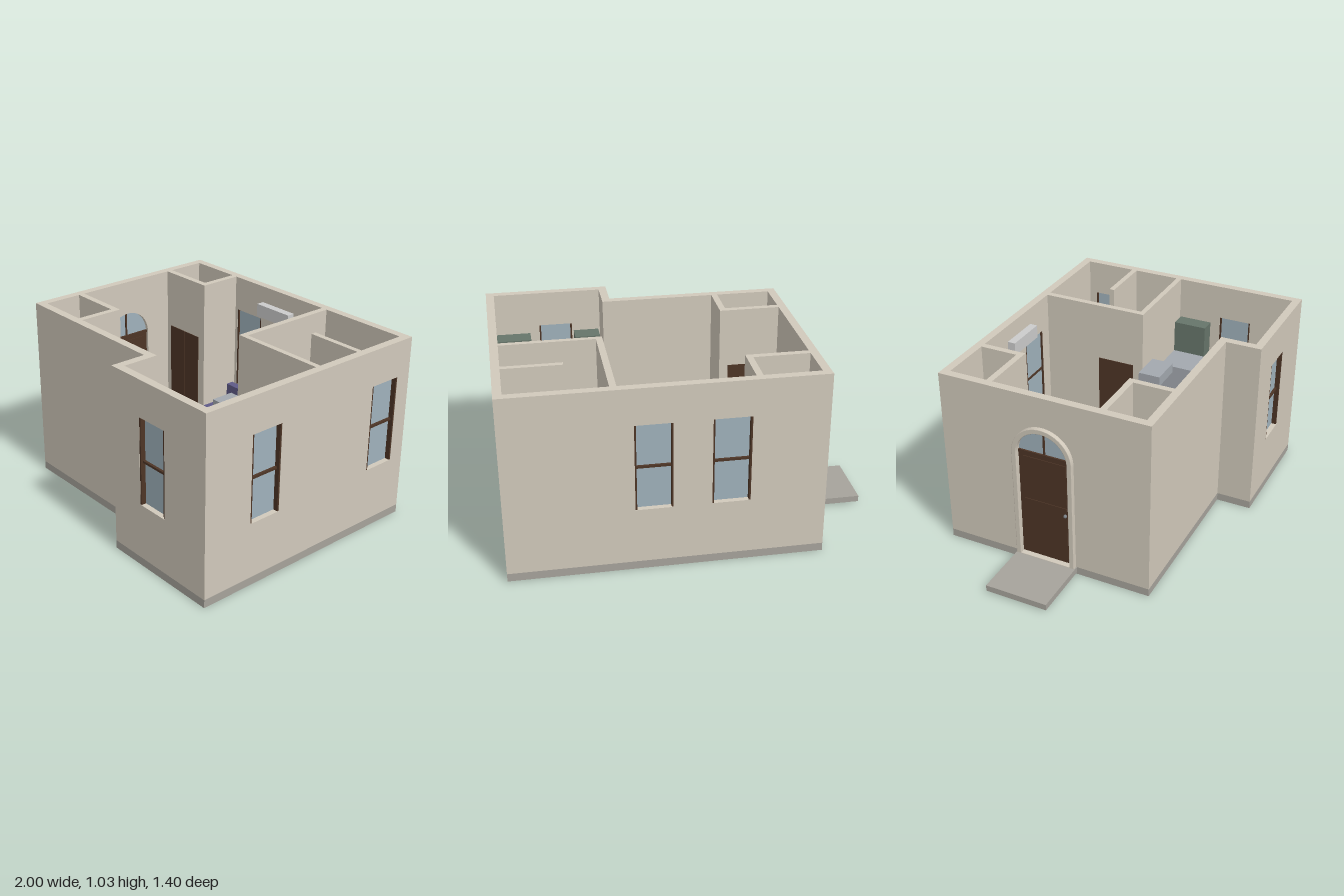
import * as THREE from 'three';

const H = 1.035, BASE = 0.045, T = 0.045;
const mat = (color, side = THREE.FrontSide) => new THREE.MeshStandardMaterial({ color, side });
const M = {
  wall: mat(0xd1c9bb), base: mat(0xa6a39b), wood: mat(0x4d3526), floor: mat(0xb08d62),
  tile: mat(0xb9b8b6), glass: mat(0x9fb1bb), sofa: mat(0x5f5a87), green: mat(0x66756a),
  steel: mat(0xa3a8ae), white: mat(0xcccccc), metal: mat(0x7c8288),
};

export function createModel() {
  const model = new THREE.Group();
  model.name = 'smallHouse';

  const add = (name, geo, material, x = 0, y = 0, z = 0, parent = model) => {
    const m = new THREE.Mesh(geo, material);
    m.name = name;
    m.position.set(x, y, z);
    parent.add(m);
    return m;
  };
  // box given by its limits on each axis
  const box = (name, material, x0, x1, y0, y1, z0, z1, parent = model) =>
    add(name, new THREE.BoxGeometry(x1 - x0, y1 - y0, z1 - z0), material,
      (x0 + x1) / 2, (y0 + y1) / 2, (z0 + z1) / 2, parent);
  const cyl = (name, material, r0, r1, h, x, y, z, parent = model) =>
    add(name, new THREE.CylinderGeometry(r0, r1, h, 32), material, x, y, z, parent);
  const extrude = (shape, depth) =>
    new THREE.ExtrudeGeometry(shape, { depth, bevelEnabled: false, curveSegments: 20 });
  const rect = (a, b, y0, y1, Type = THREE.Shape) => {
    const s = new Type();
    s.moveTo(a, y0); s.lineTo(b, y0); s.lineTo(b, y1); s.lineTo(a, y1); s.closePath();
    return s;
  };
  // round-headed outline: half width r, springing at y1
  const arch = (c, r, y0, y1, Type = THREE.Shape) => {
    const s = new Type();
    s.moveTo(c - r, y0); s.lineTo(c + r, y0); s.lineTo(c + r, y1);
    s.absarc(c, y1, r, 0, Math.PI, false);
    s.closePath();
    return s;
  };

  // Foundation, floors and entrance slab
  const plan = new THREE.Shape([[-0.66, 0.7], [-0.66, -0.5], [0.305, -0.5], [0.305, -0.7], [1, -0.7], [1, 0.7]]
    .map(([x, y]) => new THREE.Vector2(x, y)));
  add('foundation', extrude(plan, BASE), M.base).rotation.x = -Math.PI / 2;
  box('entranceSlab', M.base, -1, -0.66, 0.01, BASE, -0.275, 0.08);
  box('livingFloor', M.floor, -0.615, 0.955, BASE, 0.05, -0.655, 0.455);
  box('bathroomFloor', M.tile, 0.445, 0.955, BASE, 0.056, -0.655, -0.07);

  // Outer walls; a wall along z is turned so that its local x runs along +z
  const WY0 = 0.35, WY1 = 0.835, DOOR = -0.1, SPRING = 0.69;
  const wall = (name, a, b, alongZ, pos, holes = []) => {
    const s = rect(a, b, BASE, H);
    s.holes.push(...holes);
    const m = add(name, extrude(s, T), M.wall, alongZ ? pos + T : 0, 0, alongZ ? 0 : pos);
    if (alongZ) m.rotation.y = -Math.PI / 2;
  };
  const windowWall = (name, a, b, alongZ, pos, outward, spans) => {
    wall(name, a, b, alongZ, pos, spans.map(([p, q]) => rect(p, q, WY0, WY1, THREE.Path)));
    for (const [p, q] of spans) {
      const g = new THREE.Group();
      g.name = 'window';
      const c = (p + q) / 2, h = (q - p) / 2, my = (WY0 + WY1) / 2;
      box('glass', M.glass, -h, h, WY0, WY1, -0.012, -0.006, g);
      for (const s of [-1, 1])
        box('jamb', M.wood, s * h - 0.005 - s * 0.004, s * h + 0.005 - s * 0.004, WY0, WY1, -0.021, 0.021, g);
      box('middleBar', M.wood, -h, h, my - 0.006, my + 0.006, -0.018, 0.008, g);
      box('sill', M.wall, -h, h, WY0 - 0.003, WY0 + 0.005, -0.021, 0.0235, g);
      if (alongZ) g.position.set(pos + T / 2, 0, c);
      else g.position.set(c, 0, pos + T / 2);
      g.rotation.y = alongZ ? outward * Math.PI / 2 : (outward > 0 ? 0 : Math.PI);
      model.add(g);
    }
  };
  windowWall('backWall', -0.66, 1, false, -0.7, -1, [[-0.26, -0.06], [0.14, 0.335]]);
  windowWall('rightSideWall', -0.655, 0.7, true, 0.955, 1, [[-0.61, -0.42], [0.22, 0.41]]);
  windowWall('bayFrontWall', 0.305, 0.955, false, 0.655, 1, [[0.515, 0.705]]);
  wall('bayReturnWall', 0.5, 0.655, true, 0.305);
  wall('frontWall', -0.66, 0.35, false, 0.455);
  wall('entranceWall', -0.655, 0.455, true, -0.66, [arch(DOOR, 0.15, BASE + 0.001, SPRING, THREE.Path)]);

  // Arched entrance: surround, leaf, fanlight and knob
  const door = new THREE.Group();
  door.name = 'entranceDoor';
  model.add(door);
  const faceZ = (name, geo, material, x) => {
    add(name, geo, material, x, 0, 0, door).rotation.y = -Math.PI / 2;
  };
  const surround = arch(DOOR, 0.171, BASE, SPRING);
  surround.holes.push(arch(DOOR, 0.15, BASE + 0.001, SPRING, THREE.Path));
  faceZ('surround', new THREE.ExtrudeGeometry(surround, {
    depth: 0.02, bevelSize: 0.004, bevelThickness: 0.004, bevelSegments: 3, curveSegments: 24,
  }), M.wall, -0.66);
  faceZ('fanlight', extrude(arch(DOOR, 0.15, SPRING - 0.01, SPRING), 0.008), M.glass, -0.636);
  box('leaf', M.wood, -0.65, -0.63, BASE, SPRING, DOOR - 0.15, DOOR + 0.15, door);
  for (const [y0, y1] of [[0.075, 0.4], [0.425, 0.665]])
    box('panel', M.wood, -0.654, -0.626, y0, y1, DOOR - 0.125, DOOR + 0.125, door);
  box('transom', M.wood, -0.654, -0.626, SPRING - 0.008, SPRING + 0.008, DOOR - 0.15, DOOR + 0.15, door);
  box('fanlightBar', M.wood, -0.65, -0.63, SPRING, SPRING + 0.15, DOOR - 0.005, DOOR + 0.005, door);
  for (const x of [-0.663, -0.617])
    add('knob', new THREE.SphereGeometry(0.01, 16, 12), M.metal, x, 0.36, 0.02, door);

  // Inner walls
  const inner = (name, x0, x1, z0, z1) => box(name, M.wall, x0, x1, BASE, H, z0, z1);
  inner('bathroomSideWall', 0.41, 0.445, -0.655, -0.04);
  inner('bathroomFrontWall', 0.445, 0.955, -0.07, -0.04);
  inner('showerWall', 0.64, 0.955, -0.365, -0.335);
  box('bathroomDoor', M.wood, 0.406, 0.449, 0.05, 0.7, -0.32, -0.1);

  // Corner closets with double doors facing each other
  for (const [near, far, s] of [[-0.405, -0.655, 1], [0.205, 0.455, -1]]) {
    const span = (a, b) => [Math.min(a, b), Math.max(a, b)];
    inner('closetFrontWall', -0.615, -0.28, ...span(near, near - s * 0.035));
    inner('closetSideWall', -0.315, -0.28, ...span(near - s * 0.035, far));
    box('wardrobe', M.wood, -0.615, -0.315, 0.05, 0.7, ...span(near - s * 0.035, far));
    for (const x of [-0.58, -0.453])
      box('closetDoor', M.wood, x, x + 0.123, 0.055, 0.7, ...span(near, near + s * 0.004));
  }

  // Sofa
  const sofa = new THREE.Group();
  sofa.name = 'sofa';
  model.add(sofa);
  box('sofaBase', M.sofa, -0.28, 0.32, 0.06, 0.15, -0.64, -0.35, sofa);
  box('sofaBack', M.sofa, -0.28, 0.32, 0.15, 0.36, -0.64, -0.595, sofa);
  for (const x of [-0.28, 0.278]) box('sofaArm', M.sofa, x, x + 0.042, 0.15, 0.27, -0.595, -0.35, sofa);
  for (const x of [-0.236, 0.022]) box('seatCushion', M.sofa, x, x + 0.254, 0.15, 0.2, -0.594, -0.355, sofa);
  box('airConditioner', M.white, -0.05, 0.2, 0.865, 0.94, -0.656, -0.61);

  // Round table with a chair on either side
  cyl('tableTop', M.wood, 0.147, 0.147, 0.02, 0.005, 0.34, 0.35);
  cyl('tableLeg', M.wood, 0.018, 0.018, 0.28, 0.005, 0.19, 0.35);
  cyl('tableFoot', M.wood, 0.07, 0.08, 0.015, 0.005, 0.057, 0.35);
  for (const s of [-1, 1]) {
    const chair = new THREE.Group();
    chair.name = 'chair';
    chair.position.set(0.005, 0, 0.3525);
    chair.rotation.y = s > 0 ? 0 : Math.PI;
    box('chairSeat', M.wood, 0.105, 0.25, 0.2, 0.22, -0.0675, 0.0675, chair);
    box('chairBack', M.wood, 0.235, 0.25, 0.22, 0.42, -0.0675, 0.0675, chair);
    for (const x of [0.105, 0.235]) for (const z of [-0.0675, 0.0525])
      box('chairLeg', M.wood, x, x + 0.015, 0.05, 0.2, z, z + 0.015, chair);
    model.add(chair);
  }

  // Kitchen: counters, cooker, hood, refrigerator, sink and wall cabinets
  box('cookerCounter', M.white, 0.355, 0.955, 0.05, 0.34, -0.04, 0.17);
  box('hood', M.steel, 0.36, 0.55, 0.63, 0.69, -0.04, 0.09);
  for (const x of [0.405, 0.505]) for (const z of [0.02, 0.12])
    cyl('burner', M.wood, 0.035, 0.035, 0.008, x, 0.344, z);
  box('refrigerator', M.steel, 0.665, 0.865, 0.05, 0.6, -0.035, 0.175);
  box('windowCounter', M.white, 0.35, 0.955, 0.05, 0.34, 0.46, 0.655);
  box('sinkRim', M.white, 0.53, 0.75, 0.34, 0.345, 0.49, 0.62);
  box('sinkBasin', M.steel, 0.545, 0.735, 0.34, 0.347, 0.505, 0.605);
  cyl('tap', M.metal, 0.006, 0.006, 0.1, 0.645, 0.39, 0.638);
  box('tapSpout', M.metal, 0.64, 0.65, 0.43, 0.44, 0.58, 0.642);
  for (const [x0, x1, z0, z1] of [[0.36, 0.505, 0.55, 0.656], [0.76, 0.956, 0.55, 0.656], [0.865, 0.956, -0.035, 0.16]])
    box('wallCabinet', M.green, x0, x1, 0.55, 0.79, z0, z1);

  // Bathroom: vanity, shower and toilet
  box('vanity', M.white, 0.445, 0.635, 0.05, 0.32, -0.655, -0.51);
  cyl('vanityTap', M.metal, 0.005, 0.005, 0.06, 0.54, 0.35, -0.64);
  box('showerTray', M.tile, 0.665, 0.955, 0.055, 0.075, -0.655, -0.37);
  box('showerScreen', M.glass, 0.65, 0.658, 0.06, 0.75, -0.655, -0.5);
  cyl('showerHead', M.metal, 0.015, 0.03, 0.02, 0.805, 0.75, -0.585);
  box('showerArm', M.metal, 0.8, 0.81, 0.755, 0.765, -0.656, -0.58);
  cyl('drain', M.metal, 0.015, 0.015, 0.004, 0.805, 0.077, -0.51);
  cyl('toiletBowl', M.white, 0.065, 0.045, 0.15, 0.815, 0.125, -0.21);
  box('toiletNeck', M.white, 0.815, 0.9, 0.055, 0.18, -0.24, -0.18);
  box('toiletTank', M.white, 0.885, 0.94, 0.15, 0.33, -0.275, -0.145);
  box('towelRail', M.metal, 0.462, 0.468, 0.44, 0.446, -0.235, -0.09);

  return model;
}
